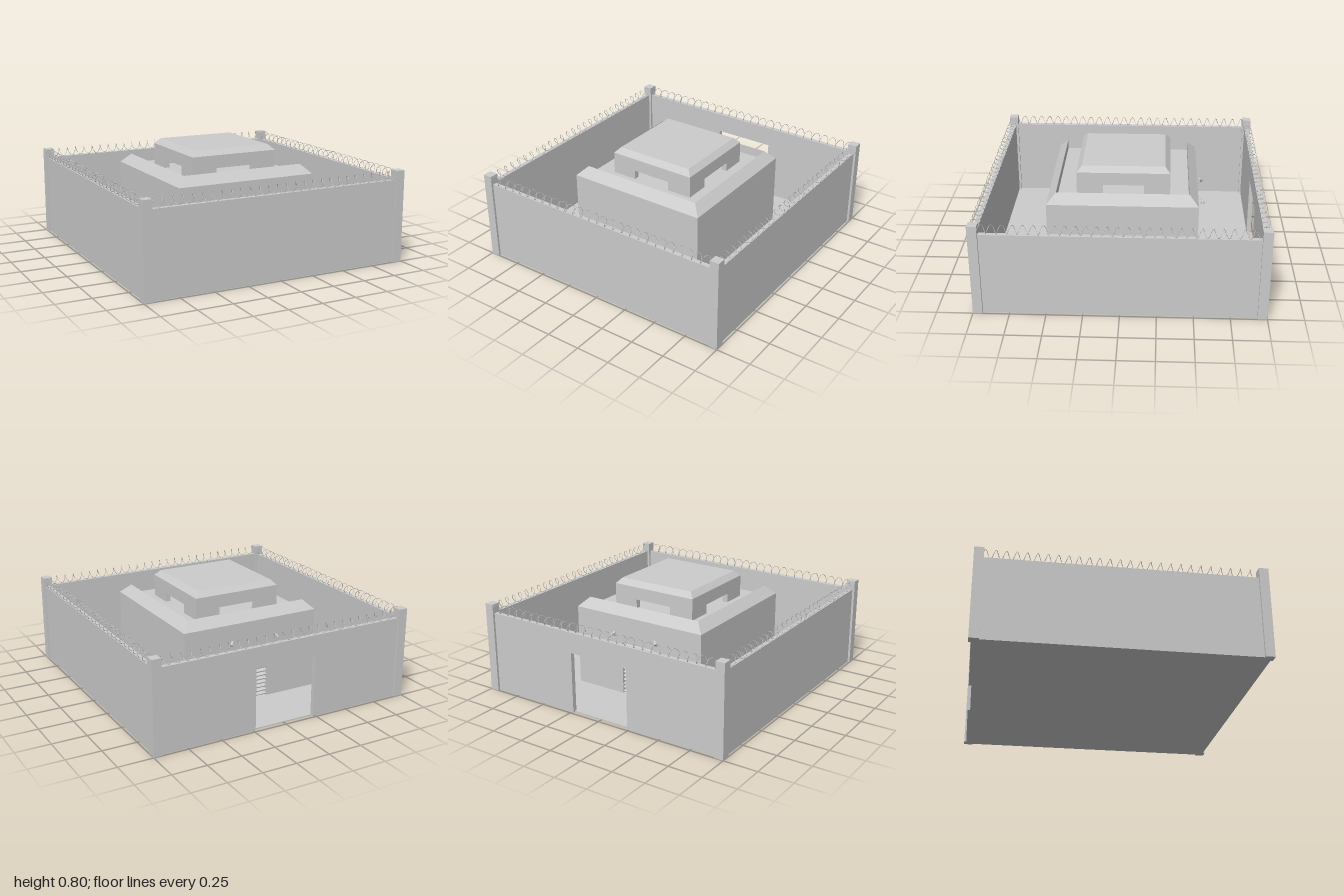
import * as THREE from 'three';

const mat = new THREE.MeshStandardMaterial({ color: 0xcccccc, flatShading: true });
const wireMat = new THREE.MeshStandardMaterial({ color: 0xcccccc });

function add(parent, name, geometry, x = 0, y = 0, z = 0, material = mat) {
  const mesh = new THREE.Mesh(geometry, material);
  mesh.name = name;
  mesh.position.set(x, y, z);
  parent.add(mesh);
  return mesh;
}

// Upright wall with a gap open at the bottom, centred on x and z
function gapWall(width, height, gapWidth, gapHeight, thickness) {
  const w = width / 2, g = gapWidth / 2;
  const shape = new THREE.Shape([
    [-w, 0], [-g, 0], [-g, gapHeight], [g, gapHeight], [g, 0], [w, 0], [w, height], [-w, height],
  ].map(([x, y]) => new THREE.Vector2(x, y)));
  const geo = new THREE.ExtrudeGeometry(shape, { depth: thickness, bevelEnabled: false });
  return geo.translate(0, 0, -thickness / 2);
}

// Square-plan solid from a profile of [half width, height]
function squareLathe(profile) {
  const pts = profile.map(([r, y]) => new THREE.Vector2(r * Math.SQRT2, y));
  return new THREE.LatheGeometry(pts, 4, Math.PI / 4);
}

// Coil of wire lying along x
class Coil extends THREE.Curve {
  getPoint(t, target = new THREE.Vector3()) {
    const a = t * 27 * Math.PI * 2;
    return target.set((t - 0.5) * 1.87, 0.031 * Math.sin(a), 0.031 * Math.cos(a));
  }
}

export function createModel() {
  const model = new THREE.Group();
  model.name = 'walledBunker';

  // Ground slab
  add(model, 'floor', new THREE.BoxGeometry(1.93, 0.006, 1.93), 0, 0.003, 0);

  // Perimeter: wall, corner post and wire coil on each side; the back has a gateway
  const coil = new THREE.TubeGeometry(new Coil(), 27 * 14, 0.0022, 4);
  const sides = ['front', 'left', 'back', 'right'];
  sides.forEach((name, i) => {
    const side = new THREE.Group();
    side.name = name + 'Side';
    side.rotation.y = i * Math.PI / 2;
    const wall = name === 'back'
      ? gapWall(1.87, 0.6, 0.467, 0.45, 0.033)
      : new THREE.BoxGeometry(1.87, 0.6, 0.033).translate(0, 0.3, 0);
    add(side, 'perimeterWall', wall, 0, 0, 0.967);
    add(side, 'cornerPost', new THREE.BoxGeometry(0.067, 0.667, 0.067), 0.9665, 0.3335, 0.9665);
    add(side, 'wireCoil', coil, 0, 0.634, 0.967, wireMat);
    model.add(side);
  });

  // Bunker body with a recessed doorway at the back
  const bunker = new THREE.Group();
  bunker.name = 'bunker';
  model.add(bunker);
  add(bunker, 'body', new THREE.BoxGeometry(1.066, 0.6, 1.026), 0, 0.3, 0.02);
  add(bunker, 'doorSurround', gapWall(1.066, 0.6, 0.267, 0.4, 0.04), 0, 0, -0.513);
  add(bunker, 'parapet', squareLathe([[0.533, 0.6], [0.467, 0.667], [0.467, 0.6]]));

  // Slatted shutter in the doorway
  for (let i = 0; i < 13; i++) {
    const slat = add(bunker, 'shutterSlat', new THREE.BoxGeometry(0.267, 0.006, 0.026), 0, 0.022 + i * 0.03, -0.515);
    slat.rotation.x = -0.4;
  }

  // Lamps on thin arms beside the doorway
  for (const s of [-1, 1]) {
    const lamp = new THREE.Group();
    lamp.name = 'doorLamp';
    lamp.position.set(s * 0.18, 0.46, -0.533);
    const arm = new THREE.CatmullRomCurve3([
      new THREE.Vector3(0, -0.02, 0.002), new THREE.Vector3(0, -0.005, -0.025), new THREE.Vector3(0, 0.015, -0.037),
    ]);
    add(lamp, 'lampArm', new THREE.TubeGeometry(arm, 6, 0.002, 5), 0, 0, 0, wireMat);
    const head = add(lamp, 'lampHead', new THREE.CylinderGeometry(0.008, 0.012, 0.036, 8), 0, 0.017, -0.038);
    head.rotation.set(0.6, 0, s * 0.6);
    bunker.add(lamp);
  }

  // Top hut: four walls with low openings, bevelled roof
  const hut = new THREE.Group();
  hut.name = 'hut';
  bunker.add(hut);
  for (let i = 0; i < 4; i++) {
    const side = new THREE.Group();
    side.name = sides[i] + 'HutSide';
    side.rotation.y = i * Math.PI / 2;
    const width = i % 2 ? 0.586 : 0.666;
    add(side, 'hutWall', gapWall(width, 0.16, 0.293, 0.067, 0.04), 0, 0.6, 0.313);
    hut.add(side);
  }
  add(hut, 'hutRoof', squareLathe([[0, 0.76], [0.333, 0.76], [0.296, 0.8], [0, 0.8]]));

  return model;
}
